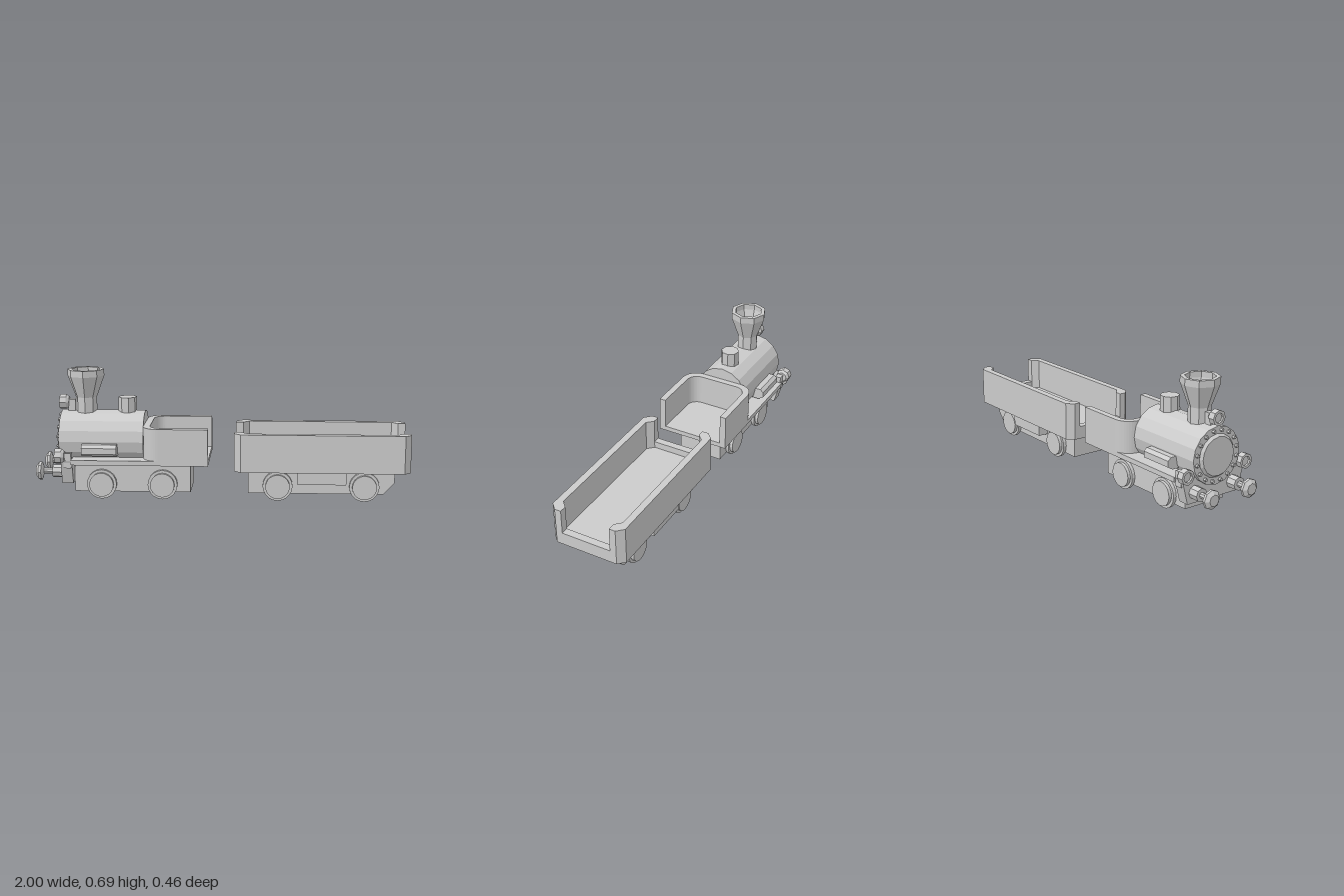
import * as THREE from 'three';

const mat = new THREE.MeshStandardMaterial({ color: 0xcccccc, flatShading: true });

function add(parent, name, geo, x = 0, y = 0, z = 0) {
  const m = new THREE.Mesh(geo, mat);
  m.name = name;
  m.position.set(x, y, z);
  parent.add(m);
  return m;
}

// box given by its limits
function box(parent, name, x0, x1, y0, y1, z0, z1) {
  return add(parent, name, new THREE.BoxGeometry(x1 - x0, y1 - y0, z1 - z0),
    (x0 + x1) / 2, (y0 + y1) / 2, (z0 + z1) / 2);
}

const toShape = pts => new THREE.Shape(pts.map(p => new THREE.Vector2(p[0], p[1])));

// outline in plan (x, -z), raised from y0 to y1
function slab(shape, y0, y1) {
  const g = new THREE.ExtrudeGeometry(shape, { depth: y1 - y0, bevelEnabled: false, curveSegments: 5 });
  return g.rotateX(-Math.PI / 2).translate(0, y0, 0);
}

// turned part, points are [radius, height]
function turned(pts, sides) {
  return new THREE.LatheGeometry(pts.map(p => new THREE.Vector2(p[0], p[1])), sides);
}
const turnedX = (pts, sides) => turned(pts, sides).rotateZ(-Math.PI / 2);

// flanged wheels on both sides of a chassis
function wheels(parent, xs) {
  const profile = [[0, 0], [0.08, 0], [0.08, 0.018], [0.065, 0.018], [0.065, 0.035], [0, 0.035]];
  for (const x of xs) for (const s of [1, -1]) {
    add(parent, 'wheel', turned(profile, 20).rotateX(s * Math.PI / 2), x, 0.08, s * 0.125);
  }
}

function buildLocomotive() {
  const g = new THREE.Group();
  g.name = 'locomotive';

  box(g, 'chassis', -0.793, -0.168, 0.037, 0.2, -0.125, 0.125);
  box(g, 'footplate', -0.8, -0.07, 0.198, 0.224, -0.205, 0.205);
  wheels(g, [-0.646, -0.318]);

  // tapered buffer beam
  const beam = new THREE.ExtrudeGeometry(
    toShape([[-0.165, 0.09], [0.165, 0.09], [0.2, 0.22], [-0.2, 0.22]]),
    { depth: 0.06, bevelEnabled: false });
  add(g, 'bufferBeam', beam.rotateY(Math.PI / 2), -0.855);

  // buffers
  const bufferProfile = [[0, 0], [0.03, 0], [0.05, 0.016], [0.05, 0.03], [0.016, 0.04], [0.016, 0.09],
    [0.035, 0.09], [0.035, 0.15], [0, 0.15]];
  for (const s of [1, -1]) add(g, 'buffer', turnedX(bufferProfile, 8), -1, 0.147, s * 0.123);

  // boiler with door and rivets
  add(g, 'boiler', turnedX([[0, -0.873], [0.15, -0.873], [0.15, -0.42], [0, -0.42]], 16), 0, 0.312);
  add(g, 'boilerDoor', turnedX([[0, -0.887], [0.1, -0.887], [0.112, -0.873], [0, -0.873]], 16), 0, 0.312);
  for (let i = 0; i < 16; i++) {
    const a = (i + 0.5) / 16 * Math.PI * 2;
    add(g, 'rivet', turnedX([[0, 0], [0.008, 0], [0.011, 0.015], [0, 0.015]], 6),
      -0.886, 0.312 + 0.13 * Math.cos(a), 0.13 * Math.sin(a));
  }

  // hollow flared chimney and steam dome
  add(g, 'chimney', turned([[0, 0.42], [0.058, 0.42], [0.058, 0.535], [0.1, 0.65], [0.1, 0.685],
    [0.078, 0.685], [0.078, 0.655], [0.042, 0.54], [0, 0.54]], 8), -0.742);
  add(g, 'steamDome', turned([[0, 0.42], [0.05, 0.42], [0.05, 0.535], [0, 0.535]], 8), -0.517)
    .rotation.y = 0.2;

  // lamps with recessed faces
  const lampProfile = [[0, 0.012], [0.026, 0.012], [0.026, 0], [0.04, 0], [0.04, 0.035], [0.028, 0.05], [0, 0.05]];
  for (const [y, z] of [[0.505, 0], [0.244, 0.19], [0.244, -0.19]]) {
    add(g, 'lamp', turnedX(lampProfile, 8), -0.885, y, z);
    box(g, 'lampBracket', -0.84, -0.8, y - 0.065, y + 0.015, z * 0.95 - 0.016, z * 0.95 + 0.016);
  }

  // chamfered boxes along the boiler
  const section = toShape([[0.13, 0.24], [0.17, 0.24], [0.198, 0.256], [0.198, 0.288], [0.18, 0.304], [0.13, 0.304]]);
  for (const s of [1, -1]) {
    const geo = new THREE.ExtrudeGeometry(section, { depth: 0.187, bevelEnabled: false });
    add(g, 'sideBox', geo.rotateY(-s * Math.PI / 2).translate(s * 0.0935, 0, 0), -0.6515);
  }

  // U-shaped cab wall with rounded front corners
  const cab = new THREE.Shape();
  cab.moveTo(-0.07, -0.205);
  cab.lineTo(-0.07, -0.17);
  cab.lineTo(-0.325, -0.17);
  cab.absarc(-0.325, -0.11, 0.06, -Math.PI / 2, -Math.PI, true);
  cab.absarc(-0.325, 0.11, 0.06, Math.PI, Math.PI / 2, true);
  cab.lineTo(-0.07, 0.17);
  cab.lineTo(-0.07, 0.205);
  cab.lineTo(-0.335, 0.205);
  cab.absarc(-0.335, 0.12, 0.085, Math.PI / 2, Math.PI, false);
  cab.absarc(-0.335, -0.12, 0.085, Math.PI, Math.PI * 1.5, false);
  add(g, 'cabWall', slab(cab, 0.224, 0.396));
  return g;
}

function buildWagon() {
  const g = new THREE.Group();
  g.name = 'wagon';

  // chassis with a sloped rear underside
  const frame = new THREE.ExtrudeGeometry(
    toShape([[0.14, 0.037], [0.863, 0.037], [0.922, 0.1], [0.922, 0.17], [0.14, 0.17]]),
    { depth: 0.25, bevelEnabled: false });
  add(g, 'chassis', frame, 0, 0, -0.125);
  box(g, 'underBox', 0.405, 0.662, 0.1, 0.172, -0.182, 0.182);
  wheels(g, [0.299, 0.761]);

  // tub: chamfered tray with low sills
  const outer = [[0.067, -0.172], [0.102, -0.207], [0.965, -0.207], [1, -0.172],
    [1, 0.172], [0.965, 0.207], [0.102, 0.207], [0.067, 0.172]];
  const inner = [[0.107, -0.137], [0.14, -0.17], [0.927, -0.17], [0.96, -0.137],
    [0.96, 0.137], [0.927, 0.17], [0.14, 0.17], [0.107, 0.137]];
  add(g, 'tubFloor', slab(toShape(outer), 0.168, 0.2));
  const sill = toShape(outer);
  sill.holes.push(toShape(inner));
  add(g, 'tubSill', slab(sill, 0.2, 0.237));

  // side walls wrapping round the corners, open at both ends
  for (const s of [1, -1]) {
    const wall = [[0.067, 0.137], [0.067, 0.172], [0.102, 0.207], [0.965, 0.207], [1, 0.172],
      [1, 0.137], [0.96, 0.137], [0.927, 0.17], [0.14, 0.17], [0.107, 0.137]];
    add(g, 'tubWall', slab(toShape(wall.map(([x, z]) => [x, s * z])), 0.237, 0.372));
  }
  return g;
}

export function createModel() {
  const model = new THREE.Group();
  model.name = 'toyTrain';
  model.add(buildLocomotive(), buildWagon());
  return model;
}
